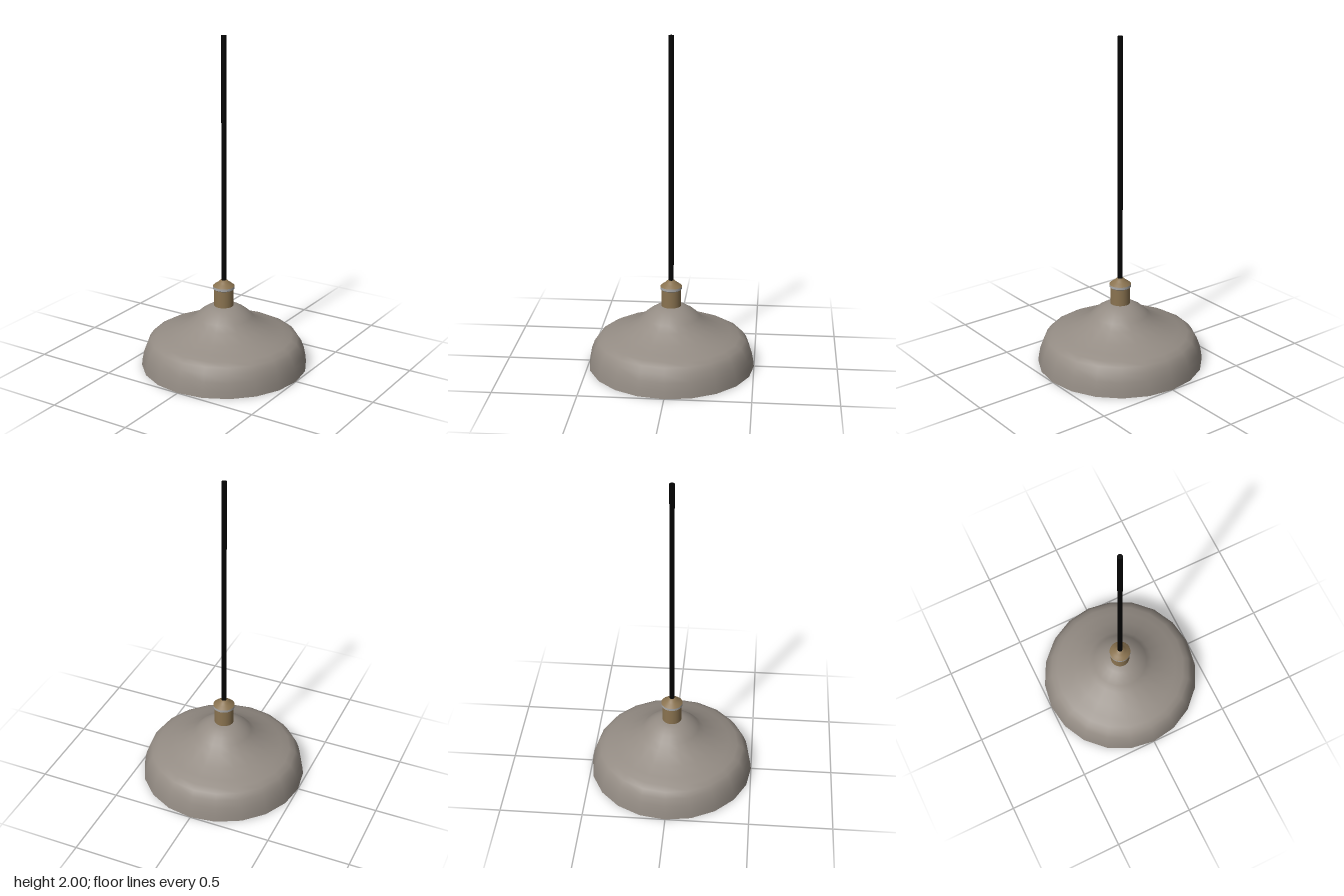
import * as THREE from 'three';

const material = (name, color) => {
  const m = new THREE.MeshStandardMaterial({ color });
  m.name = name;
  return m;
};

export function createModel() {
  const lamp = new THREE.Group();
  lamp.name = 'pendantLamp';

  // Holder, cord and bulb hang a hair off the shade's axis
  const fittings = new THREE.Group();
  fittings.name = 'fittings';
  fittings.position.set(-0.002, 0, 0.002);
  lamp.add(fittings);

  const shadeGrey = material('warm grey enamel', 0x948c84);
  const brass = material('aged brass', 0x8a7350);
  const steel = material('steel grey', 0xa8a8a8);
  const black = material('cord black', 0x030303);
  const glass = material('bulb grey', 0x948e88);

  const add = (parent, name, geometry, mat, y = 0) => {
    const mesh = new THREE.Mesh(geometry, mat);
    mesh.name = name;
    mesh.position.y = y;
    parent.add(mesh);
  };
  const lathe = (points, segments) =>
    new THREE.LatheGeometry(points.map(([r, y]) => new THREE.Vector2(r, y)), segments);

  // Shade with a 20-sided rim: outer skin, then the lining from crown to rim
  add(lamp, 'shade', lathe([
    [0.5, 0], [0.495, 0.04], [0.485, 0.09], [0.468, 0.135], [0.445, 0.168], [0.41, 0.188],
    [0.36, 0.205], [0.29, 0.232], [0.205, 0.275], [0.17, 0.312], [0.135, 0.342],
    [0.1, 0.364], [0.07, 0.376], [0.04, 0.38],
  ], 20), shadeGrey);
  add(lamp, 'shadeLining', lathe([
    [0, 0.352], [0.07, 0.348], [0.1, 0.336], [0.13, 0.315], [0.16, 0.286], [0.195, 0.245],
    [0.28, 0.205], [0.35, 0.179], [0.4, 0.162], [0.433, 0.144], [0.456, 0.115],
    [0.474, 0.075], [0.488, 0.035], [0.498, 0],
  ], 20), shadeGrey);

  // Lamp holder, bevelled collar ring and domed cap
  add(fittings, 'socket', new THREE.CylinderGeometry(0.059, 0.059, 0.15, 32), brass, 0.415);
  add(fittings, 'collarRing', new THREE.CylinderGeometry(0.065, 0.065, 0.015, 32), steel, 0.4925);
  add(fittings, 'collarBevel', new THREE.CylinderGeometry(0.065, 0.059, 0.005, 32), steel, 0.4825);
  add(fittings, 'cap', lathe([
    [0.065, 0.5], [0.058, 0.506], [0.046, 0.515], [0.032, 0.525], [0.024, 0.534], [0.014, 0.538],
  ], 32), brass);

  // Hanging cord
  add(fittings, 'cord', new THREE.CylinderGeometry(0.015, 0.015, 1.47, 16), black, 1.265);

  // Bulb under the holder
  add(fittings, 'bulb', new THREE.SphereGeometry(0.059, 24, 16), glass, 0.258);
  add(fittings, 'bulbNeck', new THREE.CylinderGeometry(0.035, 0.035, 0.06, 24), glass, 0.325);

  return lamp;
}
